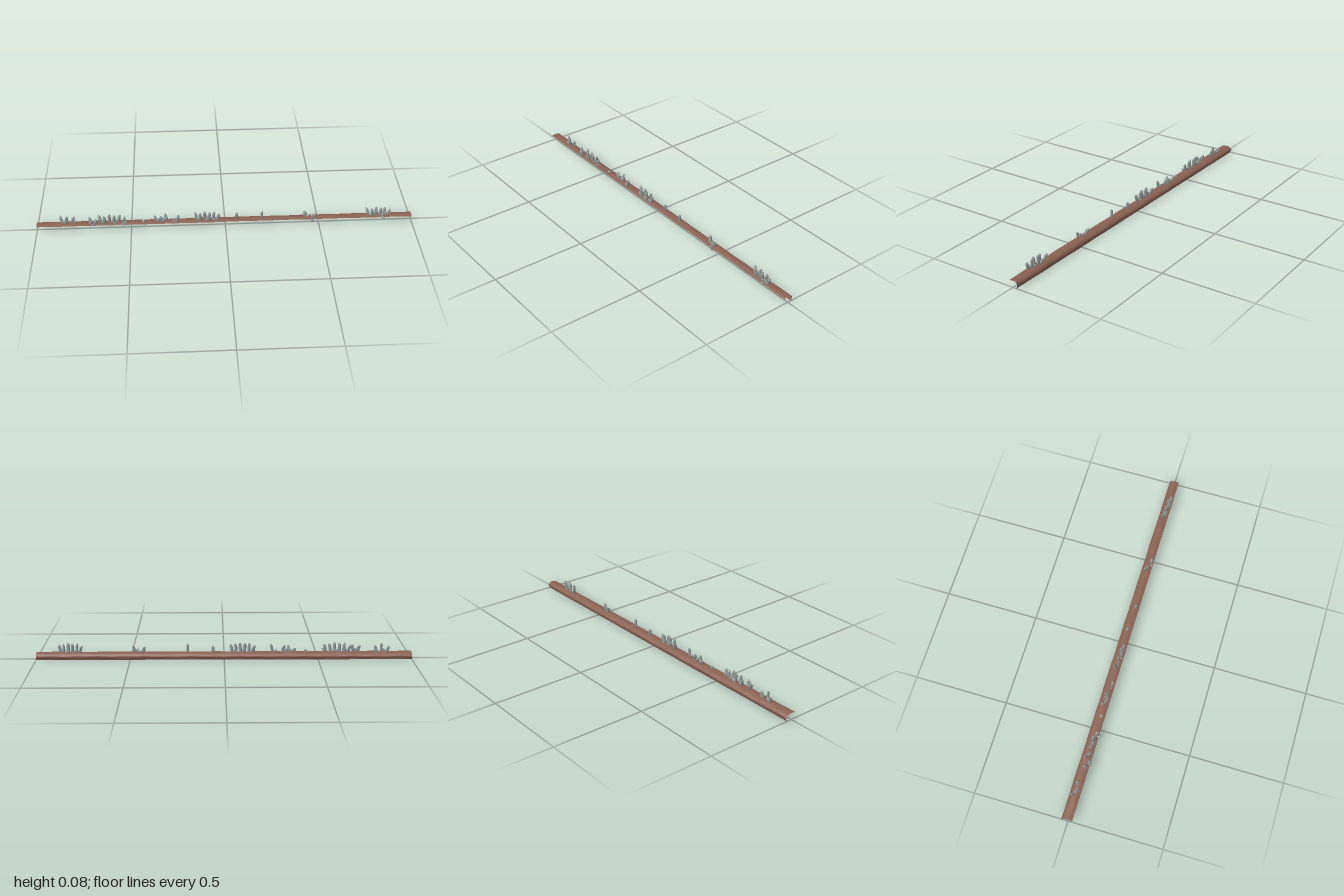
import * as THREE from 'three';
import { mergeGeometries } from 'three/addons/utils/BufferGeometryUtils.js';

const LEN = 2;

// small repeatable noise
function makeRandom(seed) {
  return () => {
    seed = (seed * 16807) % 2147483647;
    return seed / 2147483647;
  };
}

// Bark: thin curved shell, flat on top and bending down along the back
function barkGeometry() {
  const profile = new THREE.CatmullRomCurve3([ // [y, z] from front lip to back foot
    [0.031, 0.024], [0.036, 0.006], [0.034, -0.012], [0.028, -0.022],
    [0.018, -0.027], [0.009, -0.024], [0, -0.021],
  ].map(([y, z]) => new THREE.Vector3(0, y, z)));
  const nx = 120, ns = 16;
  const geo = new THREE.PlaneGeometry(1, 1, nx, ns);
  const pos = geo.attributes.position;
  for (let i = 0; i < pos.count; i++) {
    const x = (i % (nx + 1)) / nx * LEN - LEN / 2;
    const s = 1 - Math.floor(i / (nx + 1)) / ns;
    const p = profile.getPoint(s);
    const back = THREE.MathUtils.smoothstep(s, 0.25, 0.7);
    const ripple = Math.sin(x * 23 + s * 9) * 0.5 + Math.sin(x * 51 - s * 14) * 0.3;
    const ridge = Math.sin(s * 40 + Math.sin(x * 4) * 2) * 0.0006;
    const y = s === 1 ? 0 : p.y + (1 - back) * ripple * 0.0012 + ridge;
    const z = p.z - back * (0.0035 - x * 0.0035 + ripple * 0.0012);
    pos.setXYZ(i, x, Math.max(0, y), z);
  }
  geo.computeVertexNormals();
  return geo;
}

// Crystal: six-sided shaft with an off-centre tip, placed from its foot to its tip
function crystal(foot, tip, radius, spin) {
  const rings = [[0.65, 0], [1, 0.35], [0.95, 0.8], [0.3, 1]]; // [radius, height]
  const dir = tip.clone().sub(foot);
  const geo = new THREE.CylinderGeometry(1, 1, 1, 6, 3);
  const pos = geo.attributes.position;
  for (let i = 0; i < pos.count; i++) {
    const [r, h] = rings[Math.round((pos.getY(i) + 0.5) * 3)];
    const shift = h === 1 ? 0.25 : 0;
    pos.setXYZ(i, (pos.getX(i) * r + shift) * radius, h * dir.length(), pos.getZ(i) * r * radius);
  }
  geo.rotateY(spin);
  geo.applyQuaternion(new THREE.Quaternion().setFromUnitVectors(new THREE.Vector3(0, 1, 0), dir.normalize()));
  return geo.translate(foot.x, foot.y, foot.z);
}

// Cluster: a row of crystals fanning outward, tallest in the middle, zigzagging in depth
function clusterGeometry([from, to, count, top, z], random) {
  const parts = [];
  for (let i = 0; i < count; i++) {
    const t = count > 1 ? i / (count - 1) * 2 - 1 : 0;
    const x = from + (to - from) * (t + 1) / 2;
    const footZ = z + (i % 2 ? 0.005 : -0.004);
    const foot = new THREE.Vector3(x, 0.03, footZ);
    const leanZ = t < -0.9 ? -0.01 : 0.003;
    const tip = new THREE.Vector3(x + t * 0.012, top - t * t * 0.01, footZ + leanZ);
    parts.push(crystal(foot, tip, 0.0075 + random() * 0.0015, random() * 3));
    // short shoot beside each crystal of a larger cluster
    if (count > 1) {
      const side = random() < 0.5 ? -1 : 1;
      const shoot = new THREE.Vector3(x + side * (0.012 + random() * 0.012),
        0.044 + random() * 0.008, footZ + (random() - 0.4) * 0.016);
      parts.push(crystal(foot, shoot, 0.006, random() * 3));
    }
  }
  return mergeGeometries(parts);
}

export function createModel() {
  const model = new THREE.Group();
  const barkMat = new THREE.MeshStandardMaterial({ color: 0x8a6252, side: THREE.DoubleSide });
  const crystalMat = new THREE.MeshStandardMaterial({ color: 0x8f9797, flatShading: true });
  const add = (name, geometry, material) => {
    const mesh = new THREE.Mesh(geometry, material);
    mesh.name = name;
    model.add(mesh);
  };

  add('bark', barkGeometry(), barkMat);

  // [first x, last x, count, top height, depth]
  const random = makeRandom(71);
  [
    [-0.865, -0.815, 3, 0.081, -0.004],
    [-0.71, -0.695, 2, 0.08, 0.014],
    [-0.66, -0.545, 6, 0.085, 0.004],
    [-0.435, -0.435, 1, 0.048, 0.008],
    [-0.365, -0.32, 3, 0.07, 0.003],
    [-0.31, -0.26, 2, 0.085, 0.005],
    [-0.15, -0.045, 6, 0.085, 0.003],
    [0.06, 0.06, 1, 0.07, 0.002],
    [0.195, 0.195, 1, 0.08, 0.01],
    [0.435, 0.475, 2, 0.078, 0.006],
    [0.77, 0.87, 6, 0.084, 0.005],
  ].forEach((row, i) => add('crystalCluster' + (i + 1), clusterGeometry(row, random), crystalMat));

  // Crystals poking out over the front lip, one of them hanging down
  const lip = [
    [[-0.7, 0.032, 0.018], [-0.705, 0.043, 0.033]],
    [[-0.55, 0.032, 0.018], [-0.535, 0.038, 0.033]],
    [[0.46, 0.036, 0.018], [0.47, 0.012, 0.018]],
    [[0.84, 0.034, 0.016], [0.85, 0.026, 0.03]],
  ].map(([foot, tip]) => crystal(new THREE.Vector3(...foot), new THREE.Vector3(...tip), 0.006, 0.4));
  add('lipCrystals', mergeGeometries(lip), crystalMat);

  return model;
}
